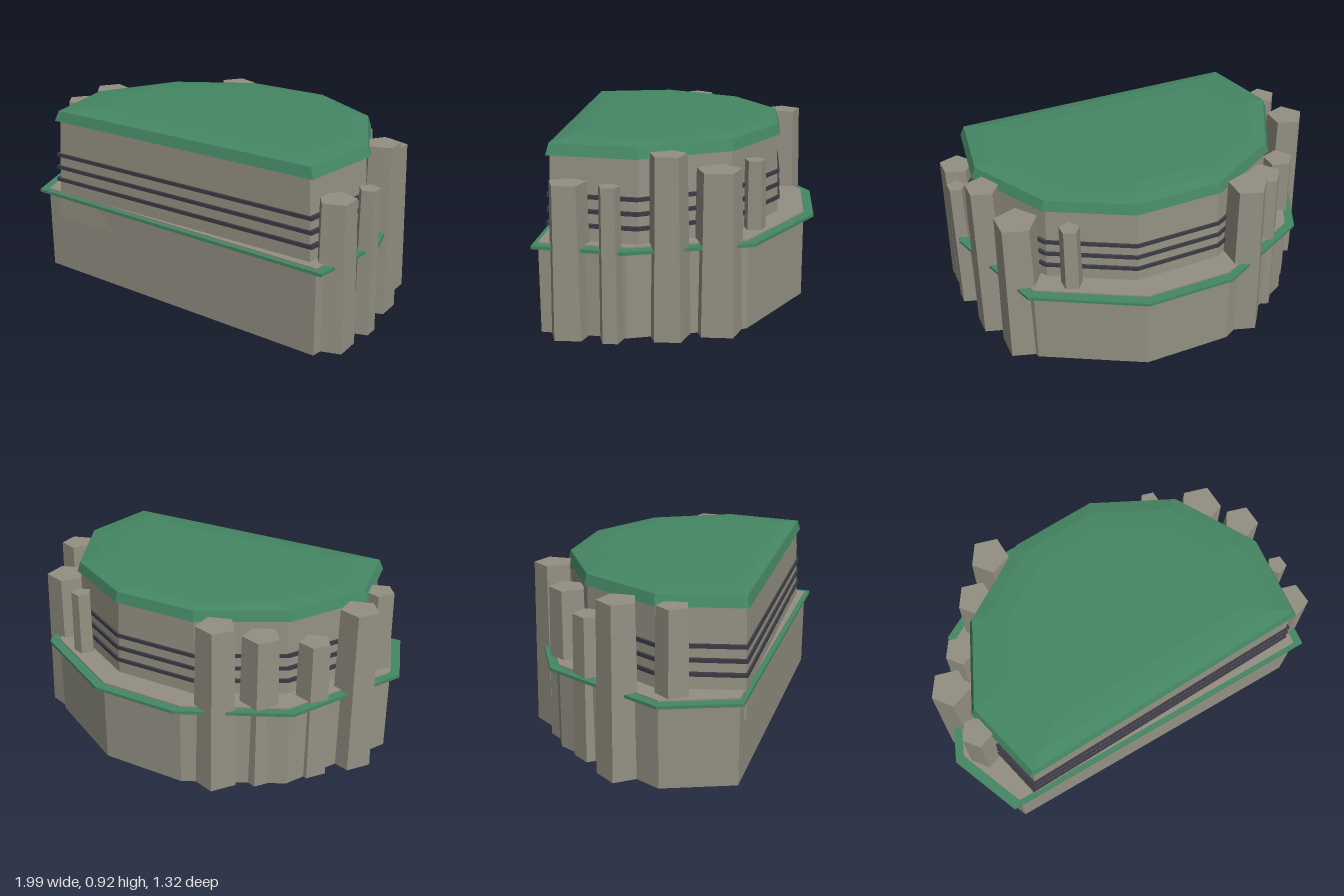
import * as THREE from 'three';

const stone = new THREE.MeshStandardMaterial({ color: 0x939082, flatShading: true, name: 'stone' });
const green = new THREE.MeshStandardMaterial({ color: 0x458764, flatShading: true, name: 'green' });
const dark = new THREE.MeshStandardMaterial({ color: 0x3c3b45, flatShading: true, name: 'darkTrim' });

// Outlines as [x, z], clockwise when seen from above
const ledgeOutline = [[-0.18, -0.66], [0.28, -0.66], [0.8, -0.37], [0.975, 0.22],
  [0.91, 0.655], [-0.865, 0.605], [-1, 0.235], [-0.7, -0.39]];
const baseOutline = [[-0.19, -0.61], [0.265, -0.61], [0.76, -0.335], [0.92, 0.215],
  [0.87, 0.63], [-0.82, 0.58], [-0.95, 0.23], [-0.66, -0.36]];
const roofOutline = [[-0.19, -0.475], [0.26, -0.48], [0.66, -0.26], [0.878, 0.165],
  [0.815, 0.59], [-0.73, 0.59], [-0.815, 0.175], [-0.59, -0.24]];
const CX = 0.035, CZ = 0.06;

// Faceted solid through scaled copies of an outline; rings are [y, scale]
function loft(name, outline, rings, material) {
  const loops = rings.map(([y, s]) =>
    outline.map(([x, z]) => [CX + (x - CX) * s, y, CZ + (z - CZ) * s]));
  const pos = [];
  const tri = (...pts) => pts.forEach((p) => pos.push(...p));
  const n = outline.length;
  const bottom = loops[0], top = loops[loops.length - 1];
  for (let i = 0; i < n; i++) {
    const j = (i + 1) % n;
    for (let r = 0; r < loops.length - 1; r++) {
      const lo = loops[r], up = loops[r + 1];
      tri(lo[i], up[i], up[j]);
      tri(lo[i], up[j], lo[j]);
    }
    tri([CX, top[0][1], CZ], top[j], top[i]);
    tri([CX, bottom[0][1], CZ], bottom[i], bottom[j]);
  }
  const g = new THREE.BufferGeometry();
  g.setAttribute('position', new THREE.Float32BufferAttribute(pos, 3));
  g.computeVertexNormals();
  const mesh = new THREE.Mesh(g, material);
  mesh.name = name;
  return mesh;
}

export function createModel() {
  const model = new THREE.Group();
  model.name = 'building';

  // Lower storey and the thin ledge round it
  model.add(loft('lowerStorey', baseOutline, [[0, 1], [0.445, 1]], stone));
  model.add(loft('ledge', ledgeOutline, [[0.422, 1], [0.438, 1]], green));

  // Upper storey, tapering upwards
  const wallScale = (y) => 1.025 - 0.06 * y;
  model.add(loft('upperStorey', roofOutline, [[0.3, wallScale(0.3)], [0.86, wallScale(0.86)]], stone));

  // Dark bands round the upper storey
  const bands = new THREE.Group();
  bands.name = 'bands';
  for (const y of [0.52, 0.588, 0.656]) {
    const s = wallScale(y) + 0.02;
    bands.add(loft('band', roofOutline, [[y - 0.009, s], [y + 0.009, s]], dark));
  }
  model.add(bands);

  // Shallow faceted roof
  model.add(loft('roof', roofOutline, [[0.843, 1.005], [0.896, 0.98], [0.909, 0.87], [0.915, 0.7]], green));

  // Five-sided tapering columns: [x, z, top radius, height]
  const columns = new THREE.Group();
  columns.name = 'columns';
  const spots = [
    [-0.33, -0.5, 0.1, 0.87], [-0.5, -0.36, 0.095, 0.8], [-0.7, -0.18, 0.08, 0.74],
    [-0.845, 0.01, 0.098, 0.87], [-0.84, 0.27, 0.08, 0.865], [0.885, 0.485, 0.092, 0.735],
    [0.942, 0.285, 0.051, 0.735], [0.87, 0.025, 0.09, 0.87], [0.78, -0.2, 0.11, 0.782],
    [0.565, -0.363, 0.053, 0.782],
  ];
  for (const [x, z, r, h] of spots) {
    const g = new THREE.CylinderGeometry(r, r * 1.16, h, 5, 1, false, -Math.PI / 2);
    const column = new THREE.Mesh(g, stone);
    column.name = 'column';
    column.position.set(x, h / 2, z);
    columns.add(column);
  }
  model.add(columns);

  return model;
}
